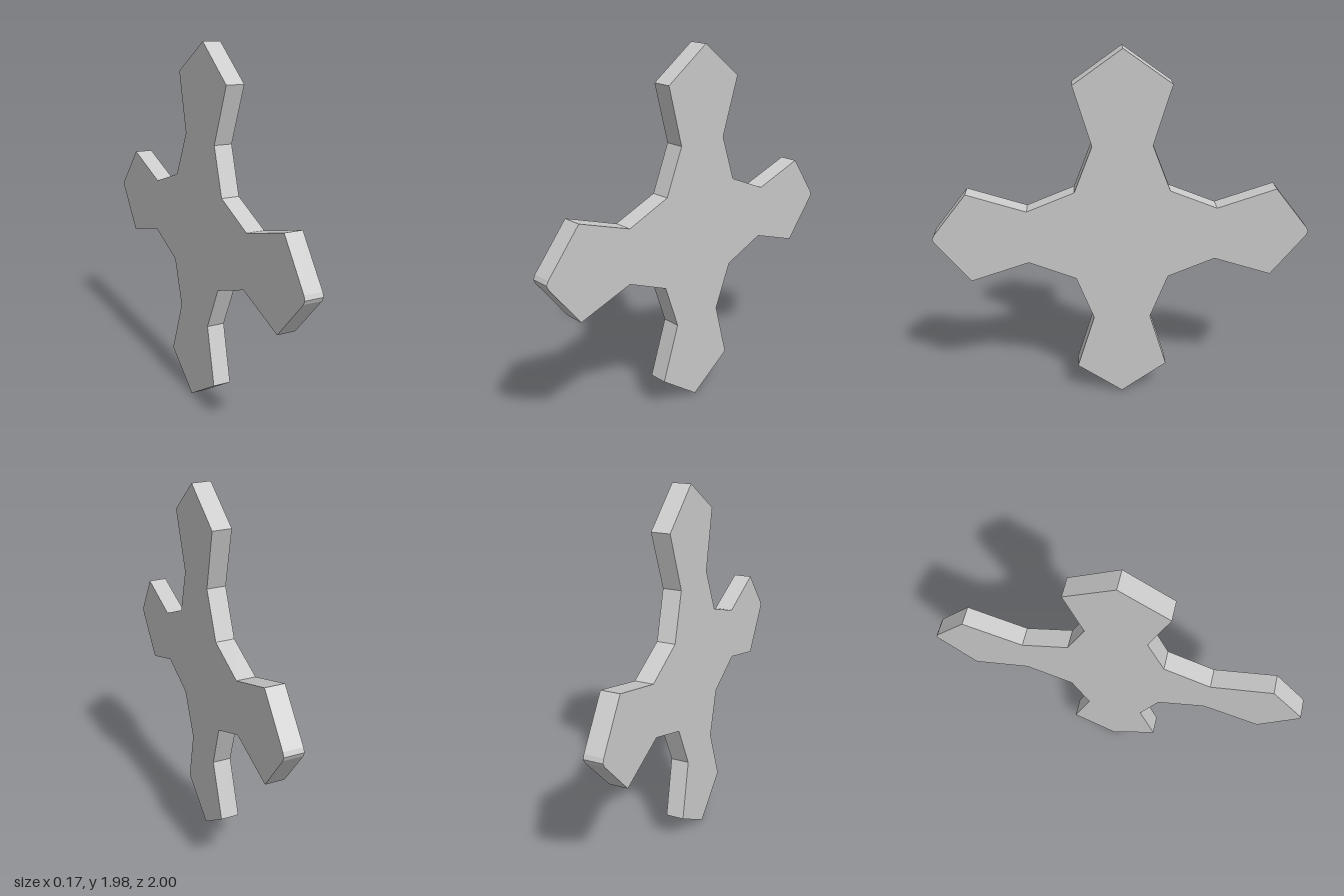
import * as THREE from 'three';

export function createModel() {
  const group = new THREE.Group();
  group.name = 'crossPlate';

  // One quarter of the outline, from the upper tip round to the side tip
  const quarter = [
    [0, 0.988], [0.25, 0.81], [0.155, 0.497], [0.25, 0.249],
    [0.5, 0.147], [0.81, 0.249], [0.99, 0.022], [1, 0],
  ];
  // Mirror the quarter down, then the half across
  const half = [...quarter, ...quarter.slice(0, -1).reverse().map(([u, v]) => [u, -v])];
  const outline = [...half, ...half.slice(1, -1).reverse().map(([u, v]) => [-u, v])];
  const shape = new THREE.Shape(outline.map(([u, v]) => new THREE.Vector2(u, v)));

  // Flat slab facing sideways
  const thickness = 0.1;
  const geometry = new THREE.ExtrudeGeometry(shape, { depth: thickness, bevelEnabled: false });
  geometry.translate(0, 0, -thickness / 2);
  geometry.rotateY(-Math.PI / 2);

  // Slight lean towards +x
  const plate = new THREE.Mesh(
    geometry,
    new THREE.MeshStandardMaterial({ color: 0xcccccc, flatShading: true }),
  );
  plate.name = 'fourArmedPlate';
  plate.rotation.z = -0.037;
  plate.position.y = 0.9975;
  group.add(plate);
  return group;
}
